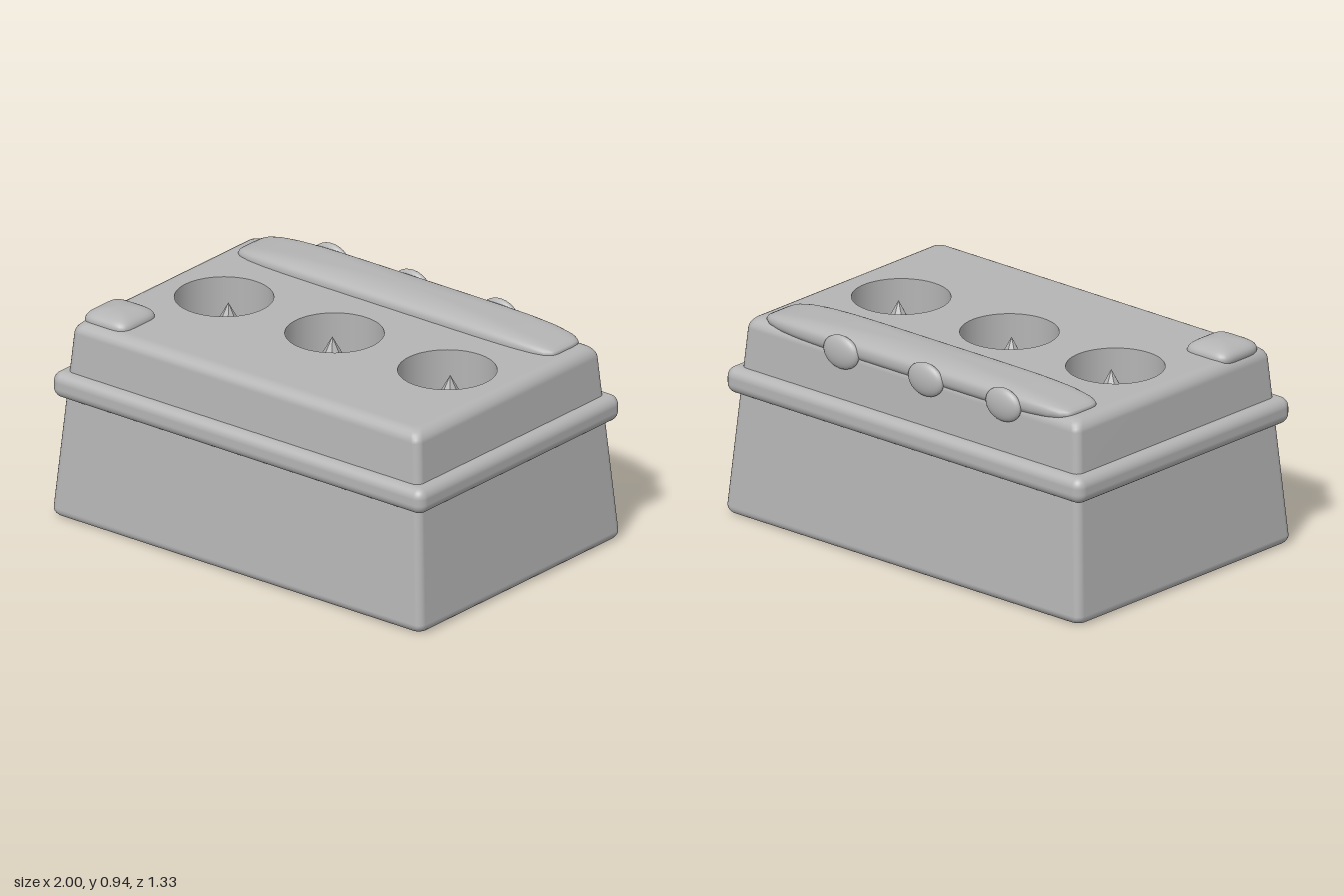
import * as THREE from 'three';
import { mergeVertices } from 'three/addons/utils/BufferGeometryUtils.js';
import { RoundedBoxGeometry } from 'three/addons/geometries/RoundedBoxGeometry.js';

const HEIGHT = 0.88;
const PIT_FLOOR = 0.68;
const PIT_RADIUS = 0.208;

// Outline of a rounded rectangle as points (x, z)
function roundedRect(hx, hz, r, steps = 5) {
  const points = [];
  const corners = [[1, 1], [-1, 1], [-1, -1], [1, -1]];
  corners.forEach(([sx, sz], i) => {
    for (let k = 0; k <= steps; k++) {
      const a = (i + k / steps) * Math.PI / 2;
      points.push(new THREE.Vector2(
        sx * (hx - r) + r * Math.cos(a), sz * (hz - r) + r * Math.sin(a)));
    }
  });
  return points;
}

// Smooth skin through rings of equal point count, listed from bottom to top
function loft(rings) {
  const n = rings[0].points.length;
  const positions = [], index = [];
  rings.forEach(({ y, points }) => points.forEach(p => positions.push(p.x, y, p.y)));
  for (let j = 0; j < rings.length - 1; j++) {
    for (let i = 0; i < n; i++) {
      const a = j * n + i, b = j * n + (i + 1) % n;
      index.push(a, a + n, b, b, a + n, b + n);
    }
  }
  const geometry = new THREE.BufferGeometry();
  geometry.setAttribute('position', new THREE.Float32BufferAttribute(positions, 3));
  geometry.setIndex(index);
  geometry.computeVertexNormals();
  return geometry;
}

// Pillow: a sphere pushed out to a squarish plan, then scaled
function pillow(rx, ry, rz, planPower, heightPower) {
  let geometry = new THREE.SphereGeometry(1, 64, 24);
  geometry.deleteAttribute('uv');
  geometry.deleteAttribute('normal');
  const p = geometry.attributes.position;
  for (let i = 0; i < p.count; i++) {
    const x = p.getX(i), y = p.getY(i), z = p.getZ(i);
    const rho = Math.hypot(x, z);
    let k = 0;
    if (rho > 1e-5) {
      const plan = (Math.abs(x / rho) ** planPower + Math.abs(z / rho) ** planPower) ** (-1 / planPower);
      k = plan * rho ** (2 / heightPower) / rho;
    }
    p.setXYZ(i, x * k * rx, Math.sign(y) * Math.abs(y) ** (2 / heightPower) * ry, z * k * rz);
  }
  geometry = mergeVertices(geometry, 1e-5);
  geometry.computeVertexNormals();
  return geometry;
}

export function createModel() {
  const model = new THREE.Group();
  const grey = new THREE.MeshStandardMaterial({ color: 0xb4b4b4, side: THREE.DoubleSide });
  grey.name = 'grey';

  function add(name, geometry, x = 0, y = 0, z = 0, parent = model) {
    const mesh = new THREE.Mesh(geometry, grey);
    mesh.name = name;
    mesh.position.set(x, y, z);
    parent.add(mesh);
    return mesh;
  }

  // Tapered body with rounded bottom and top edges
  const ring = (y, inset) => ({
    y, points: roundedRect(1 - 0.08 * y - inset, 0.667 - 0.075 * y - inset, 0.035),
  });
  const rings = [ring(0, 0.055)];
  const bottomR = 0.04, topR = 0.05;
  for (let i = 0; i <= 5; i++) {
    const a = i / 5 * Math.PI / 2;
    rings.push(ring(bottomR * (1 - Math.cos(a)), bottomR * (1 - Math.sin(a))));
  }
  for (let i = 0; i <= 5; i++) {
    const a = i / 5 * Math.PI / 2;
    rings.push(ring(HEIGHT - topR * (1 - Math.sin(a)), topR * (1 - Math.cos(a))));
  }
  rings.push(ring(HEIGHT, topR + 0.015));
  add('body', loft(rings));

  // Underside
  const base = new THREE.ShapeGeometry(new THREE.Shape(rings[0].points));
  add('underside', base.rotateX(Math.PI / 2));

  // Top plate pierced by three round holes
  const pitX = [-0.603, -0.008, 0.6];
  const top = new THREE.Shape(rings[rings.length - 1].points);
  pitX.forEach(x => {
    const hole = new THREE.Path();
    hole.absarc(x, 0, PIT_RADIUS, 0, Math.PI * 2, true);
    top.holes.push(hole);
  });
  add('topPlate', new THREE.ShapeGeometry(top, 32).rotateX(-Math.PI / 2), 0, HEIGHT, 0);

  // Pits, each with a faceted spike standing on its floor
  const spikeX = [-0.58, -0.02, 0.615];
  pitX.forEach((x, i) => {
    const pit = new THREE.Group();
    pit.name = 'pit';
    model.add(pit);
    const depth = HEIGHT - PIT_FLOOR;
    add('pitWall', new THREE.CylinderGeometry(PIT_RADIUS, PIT_RADIUS, depth, 64, 1, true),
      x, PIT_FLOOR + depth / 2, 0, pit);
    add('pitFloor', new THREE.CircleGeometry(PIT_RADIUS, 64).rotateX(-Math.PI / 2),
      x, PIT_FLOOR, 0, pit);
    const cone = new THREE.ConeGeometry(0.1, 0.18, 7, 1, true).rotateY(Math.PI / 2).toNonIndexed();
    cone.computeVertexNormals();
    add('spike', cone, spikeX[i], PIT_FLOOR + 0.09, 0, pit);
  });

  // Band around the body
  add('band', new RoundedBoxGeometry(2, 0.117, 1.33, 5, 0.045), 0, 0.597, 0);

  // Long cushion at the back and square button at the front corner
  add('backCushion', pillow(0.857, 0.063, 0.137, 6, 2.4), 0, 0.882, -0.477);
  add('cornerButton', pillow(0.118, 0.052, 0.12, 5, 2.2), -0.803, 0.88, 0.443);

  // Pebbles along the back edge
  [-0.525, -0.09, 0.385].forEach(x => {
    add('pebble', new THREE.SphereGeometry(1, 24, 16).scale(0.096, 0.074, 0.032), x, 0.863, -0.612);
  });

  return model;
}
